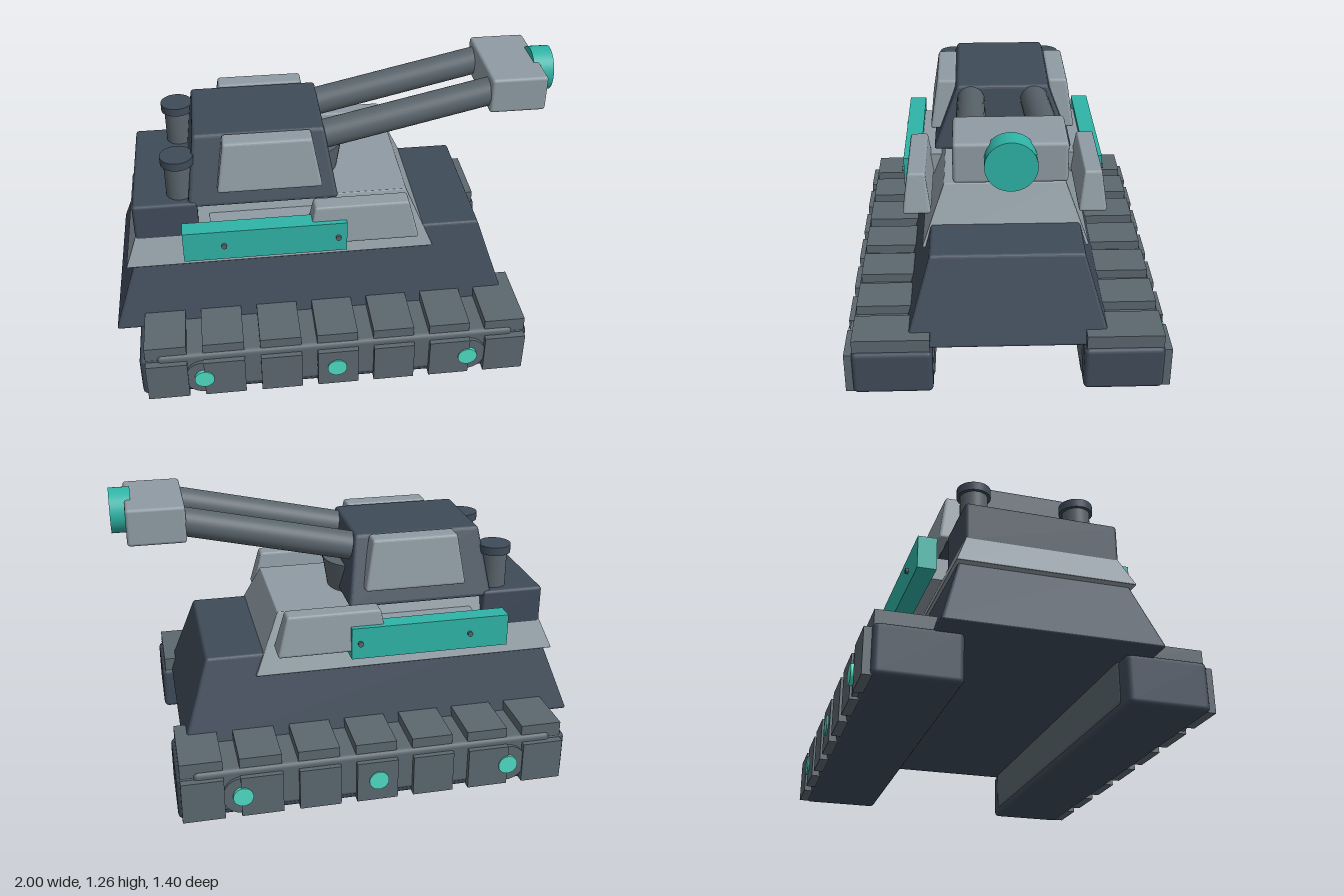
import * as THREE from 'three';
import { RoundedBoxGeometry } from 'three/addons/geometries/RoundedBoxGeometry.js';

const mat = (color) => new THREE.MeshStandardMaterial({ color });
const DARK = mat(0x3f4b59), TRACK = mat(0x5b676f), LIGHT = mat(0x8f9ba3);
const TEAL = mat(0x2fb3a6), GLOW = mat(0x4fdcc4), METAL = mat(0x59646b);

export function createModel() {
  const model = new THREE.Group();

  const add = (name, geometry, material, parent = model) => {
    const mesh = new THREE.Mesh(geometry, material);
    mesh.name = name;
    parent.add(mesh);
    return mesh;
  };

  // Box given by its extents [min, max], with optional rounded edges
  const box = (name, x, y, z, material, radius = 0, parent = model) => {
    const s = [x, y, z].map(([a, b]) => b - a);
    const g = radius ? new RoundedBoxGeometry(...s, 2, radius) : new THREE.BoxGeometry(...s);
    g.translate((x[0] + x[1]) / 2, (y[0] + y[1]) / 2, (z[0] + z[1]) / 2);
    return add(name, g, material, parent);
  };

  // Tapered block: x and z extents blend from a lower to an upper rectangle
  const taper = (name, y, lowX, lowZ, topX, topZ, material, radius = 0.012, parent = model) => {
    const size = [lowX[1] - lowX[0], y[1] - y[0], lowZ[1] - lowZ[0]];
    const g = new RoundedBoxGeometry(...size, 2, radius);
    const p = g.attributes.position;
    const blend = (low, top, t, u) =>
      THREE.MathUtils.lerp(THREE.MathUtils.lerp(low[0], low[1], u), THREE.MathUtils.lerp(top[0], top[1], u), t);
    for (let i = 0; i < p.count; i++) {
      const u = p.getX(i) / size[0] + 0.5;
      const t = p.getY(i) / size[1] + 0.5;
      const w = p.getZ(i) / size[2] + 0.5;
      p.setXYZ(i, blend(lowX, topX, t, u), y[0] + t * size[1], blend(lowZ, topZ, t, w));
    }
    g.computeVertexNormals();
    return add(name, g, material, parent);
  };

  // Cylinder between two points
  const rod = (name, a, b, r0, r1, material, parent = model, sides = 32) => {
    const from = new THREE.Vector3(...a), to = new THREE.Vector3(...b);
    const dir = to.clone().sub(from);
    const mesh = add(name, new THREE.CylinderGeometry(r1, r0, dir.length(), sides), material, parent);
    mesh.position.copy(from).add(to).multiplyScalar(0.5);
    mesh.quaternion.setFromUnitVectors(new THREE.Vector3(0, 1, 0), dir.normalize());
    return mesh;
  };

  // z extents on either side of the centre line
  const side = (s, a, b) => (s > 0 ? [a, b] : [-b, -a]);

  // Hull, upper armour skirt and rear deck
  taper('hull', [0.2, 0.58], [-1, 0.78], [-0.44, 0.44], [-0.865, 0.65], [-0.325, 0.325], DARK);
  taper('armourSkirt', [0.49, 0.745], [-0.93, 0.44], [-0.367, 0.367], [-0.83, 0.325], [-0.268, 0.268], LIGHT, 0.004);
  box('rearDeck', [-0.88, -0.6], [0.6, 0.78], [-0.32, 0.32], DARK, 0.015);

  // Turret on its ring, with a collar below the guns
  rod('turretRing', [-0.4, 0.7, 0], [-0.4, 0.78, 0], 0.09, 0.09, METAL);
  taper('turret', [0.755, 1.052], [-0.64, 0.015], [-0.32, 0.32], [-0.6, -0.035], [-0.205, 0.205], DARK, 0.015);
  rod('gunCollar', [-0.1, 0.74, 0], [-0.1, 0.882, 0], 0.145, 0.168, METAL);

  for (const s of [1, -1]) {
    // Track unit: dark core, grey belt, pads and wheels
    const track = new THREE.Group();
    track.name = s > 0 ? 'frontTrack' : 'backTrack';
    model.add(track);
    box('trackCore', [-0.895, 0.825], [0.003, 0.21], side(s, 0.32, 0.662), DARK, 0.022, track);
    box('trackBelt', [-0.82, 0.755], [0.025, 0.225], side(s, 0.314, 0.669), TRACK, 0.02, track);
    for (let i = 0; i < 7; i++) {
      const x = -0.78 + i * 0.25;
      box('topPad', [x - 0.09, x + 0.09], [0.2, 0.268], side(s, 0.33, 0.657), TRACK, 0, track);
      box('sidePad', [x - 0.09, x + 0.09], [0.008, 0.195], side(s, 0.64, 0.693), TRACK, 0, track);
    }
    for (const x of [-0.62, -0.035, 0.552]) {
      rod('wheel', [x, 0.105, s * 0.6], [x, 0.105, s * 0.684], 0.086, 0.086, TRACK, track);
      rod('wheelHub', [x, 0.105, s * 0.65], [x, 0.105, s * 0.699], 0.043, 0.043, GLOW, track);
    }

    // Bolt-on armour
    taper('turretPlate', [0.83, 1.055], [-0.51, -0.055], side(s, 0.25, 0.333),
      [-0.475, -0.095], side(s, 0.21, 0.298), LIGHT);
    taper('hullPlate', [0.608, 0.787], [-0.135, 0.355], side(s, 0.325, 0.452),
      [-0.1, 0.308], side(s, 0.35, 0.428), LIGHT);
    box('sidePanel', [-0.67, 0.035], [0.578, 0.722], side(s, 0.38, 0.46), TEAL);
    box('panelBracket', [-0.55, -0.05], [0.6, 0.7], side(s, 0.27, 0.39), LIGHT);
    for (const x of [-0.495, -0.003]) {
      rod('panelBolt', [x, 0.65, s * 0.45], [x, 0.65, s * 0.472], 0.012, 0.012, METAL, model, 16);
    }

    // Twin barrels and exhaust stacks
    rod('barrel', [-0.15, 0.956, s * 0.145], [0.75, 1.16, s * 0.145], 0.064, 0.062, METAL);
    rod('exhaustStack', [-0.673, 0.76, s * 0.228], [-0.673, 0.945, s * 0.228], 0.058, 0.058, METAL);
    rod('exhaustCap', [-0.673, 0.938, s * 0.228], [-0.673, 0.975, s * 0.228], 0.072, 0.072, DARK);
  }

  // Muzzle block and emitter
  box('muzzleBlock', [0.69, 0.938], [1.073, 1.235], [-0.213, 0.213], LIGHT, 0.014);
  rod('muzzleEmitter', [0.91, 1.17, 0], [1, 1.17, 0], 0.098, 0.098, TEAL, model, 40);

  return model;
}
